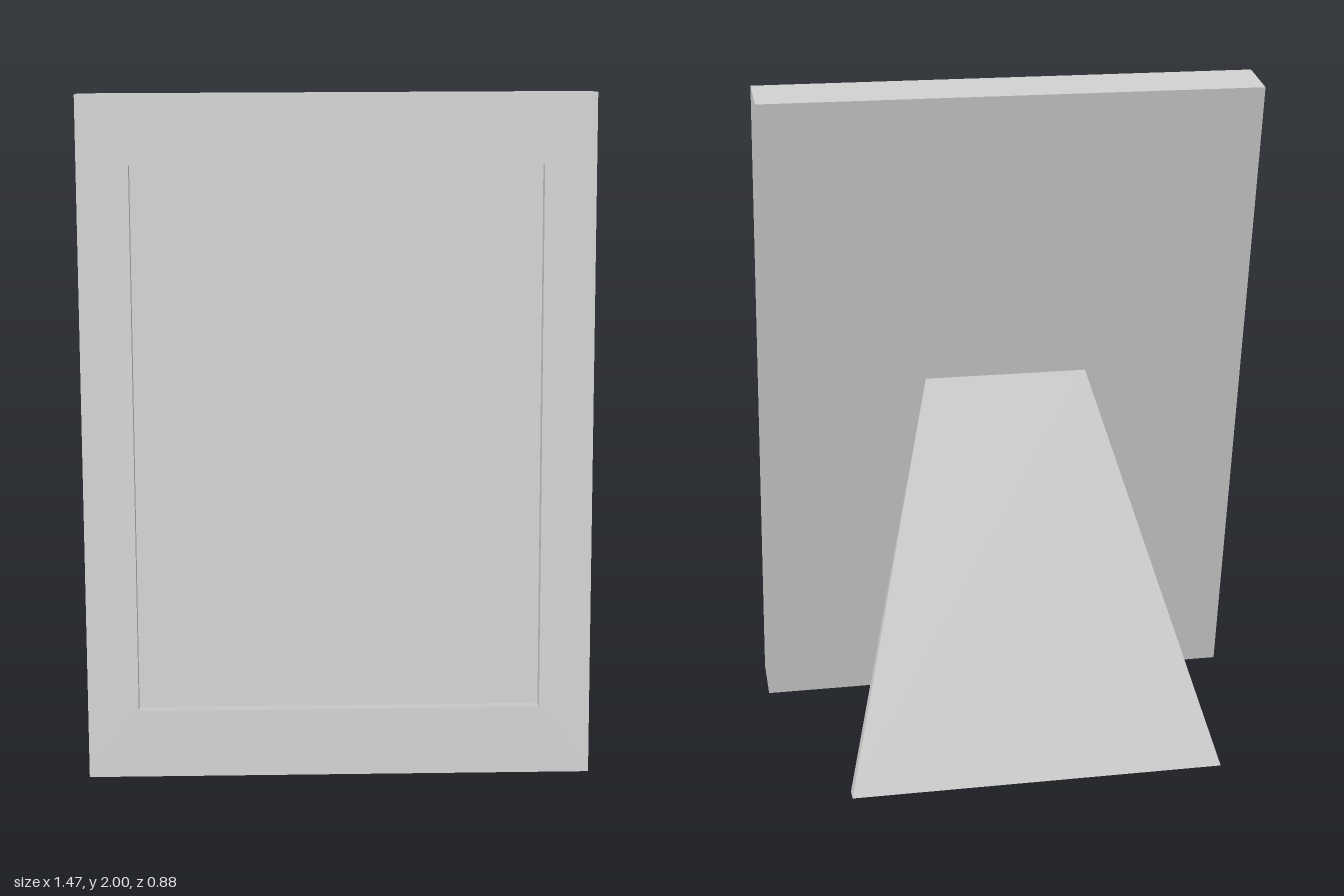
import * as THREE from 'three';

const material = new THREE.MeshStandardMaterial({ color: 0xcccccc, flatShading: true });

// Joins four-cornered sections with flat faces; corners run counter-clockwise seen from the end side.
function loft(rings, capEnd) {
  const points = [];
  const quad = (a, b, c, d) => points.push(...a, ...b, ...c, ...a, ...c, ...d);
  const first = rings[0], last = rings[rings.length - 1];
  quad(first[3], first[2], first[1], first[0]);
  for (let r = 0; r < rings.length - 1; r++) {
    for (let i = 0; i < 4; i++) {
      const j = (i + 1) % 4;
      quad(rings[r][i], rings[r][j], rings[r + 1][j], rings[r + 1][i]);
    }
  }
  if (capEnd) quad(...last);
  const geometry = new THREE.BufferGeometry();
  geometry.setAttribute('position', new THREE.Float32BufferAttribute(points, 3));
  geometry.computeVertexNormals();
  return geometry;
}

function addMesh(parent, name, geometry) {
  const mesh = new THREE.Mesh(geometry, material);
  mesh.name = name;
  parent.add(mesh);
  return mesh;
}

export function createModel() {
  const model = new THREE.Group();
  model.name = 'pictureFrame';

  const halfWidth = 0.737, height = 1.993, depth = 0.153, recess = 0.04;
  const sideMargin = 0.148, endMargin = 0.2;

  // Leaning body, pivoting on its lower back edge
  const body = new THREE.Group();
  body.name = 'leaningBody';
  body.position.set(0, 0.01, 0.289);
  body.rotation.x = THREE.MathUtils.degToRad(-10);
  model.add(body);

  // Frame: back, outer edge, front border, then inner edge of the opening
  const section = (mx, my, z) => {
    const x = halfWidth - mx;
    return [[-x, my, z], [x, my, z], [x, height - my, z], [-x, height - my, z]];
  };
  addMesh(body, 'frame', loft([
    section(0, 0, 0),
    section(0, 0, depth),
    section(sideMargin, endMargin, depth),
    section(sideMargin, endMargin, depth - recess),
  ], false));

  // Recessed picture panel
  const panel = addMesh(body, 'picturePanel',
    new THREE.PlaneGeometry(2 * (halfWidth - sideMargin), height - 2 * endMargin));
  panel.position.set(0, height / 2, depth - recess);

  // Tapered easel leg, cut flat at the floor and flush with the frame's back
  addMesh(model, 'easelLeg', loft([
    [[-0.555, 0, -0.397], [0.555, 0, -0.397], [0.555, 0, -0.44], [-0.555, 0, -0.44]],
    [[-0.245, 1.042, 0.106], [0.245, 1.042, 0.106], [0.245, 1.098, 0.096], [-0.245, 1.098, 0.096]],
  ], true));

  return model;
}
